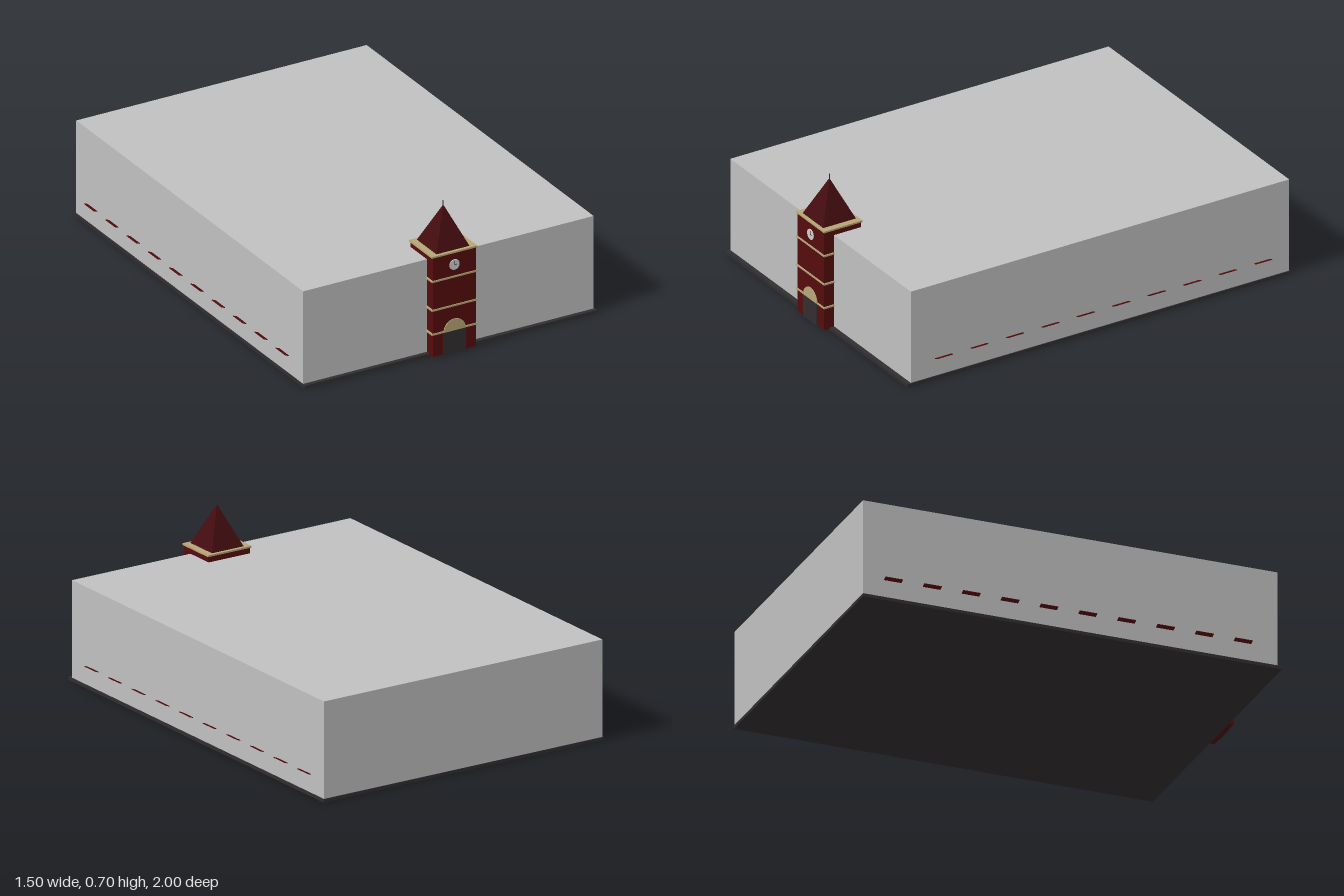
import * as THREE from 'three';

export function createModel() {
  const model = new THREE.Group();
  model.name = 'hallWithClockTower';

  const paint = (name, color) => {
    const m = new THREE.MeshStandardMaterial({ color });
    m.name = name;
    return m;
  };
  const wallGrey = paint('wallGrey', 0xc0c0c0);
  const charcoal = paint('charcoal', 0x322e30);
  const brick = paint('brickRed', 0x560c0d);
  const roofRed = paint('roofRed', 0x430c0f);
  const sandstone = paint('sandstone', 0xb7a777);
  const dialWhite = paint('dialWhite', 0xcfcfcf);

  const add = (parent, name, geometry, material, x, y, z) => {
    const mesh = new THREE.Mesh(geometry, material);
    mesh.name = name;
    mesh.position.set(x, y, z);
    parent.add(mesh);
    return mesh;
  };
  const box = (parent, name, material, w, h, d, x, y, z) =>
    add(parent, name, new THREE.BoxGeometry(w, h, d), material, x, y, z);

  // Plinth and main hall
  box(model, 'plinth', charcoal, 1.47, 0.015, 1.965, 0, 0.0075, -0.0175);
  box(model, 'hall', wallGrey, 1.46, 0.447, 1.943, 0, 0.2385, -0.0265);

  // Clock tower, its centre at z = 0.9
  const tower = new THREE.Group();
  tower.name = 'clockTower';
  tower.position.z = 0.9;
  model.add(tower);
  box(tower, 'towerBody', brick, 0.216, 0.48, 0.19, 0, 0.25, 0);
  for (const y of [0.119, 0.235, 0.374, 0.492]) {
    box(tower, 'ledge', sandstone, 0.228, 0.008, 0.198, 0, y, 0);
  }

  // Pyramid roof and finial
  const roof = new THREE.ConeGeometry(Math.SQRT1_2, 1, 4, 1).toNonIndexed();
  roof.rotateY(Math.PI / 4).scale(0.166, 0.185, 0.168);
  roof.computeVertexNormals();
  add(tower, 'roof', roof, roofRed, 0, 0.5885, 0);
  add(tower, 'finial', new THREE.CylinderGeometry(0.002, 0.002, 0.04, 8), charcoal, 0, 0.682, 0);

  // Doorway with a round fanlight above
  box(tower, 'door', charcoal, 0.11, 0.105, 0.005, 0, 0.0625, 0.0975);
  const arch = new THREE.Shape();
  arch.absarc(0, 0, 0.055, 0, Math.PI);
  arch.closePath();
  add(tower, 'fanlight',
    new THREE.ExtrudeGeometry(arch, { depth: 0.004, bevelEnabled: false, curveSegments: 20 }),
    sandstone, 0, 0.116, 0.0957);

  // Clock dial and hands
  const dial = new THREE.CylinderGeometry(0.025, 0.025, 0.004, 32).rotateX(Math.PI / 2);
  add(tower, 'clockDial', dial, dialWhite, 0, 0.432, 0.0965);
  for (const [name, length, angle] of [['minuteHand', 0.018, 0], ['hourHand', 0.012, -Math.PI / 2]]) {
    const hand = new THREE.BoxGeometry(0.003, length, 0.001).translate(0, length / 2, 0);
    add(tower, name, hand, charcoal, 0, 0.432, 0.099).rotation.z = angle;
  }

  // Awnings along both long walls, tipped up at the outer edge
  for (const side of [-1, 1]) {
    for (let i = 0; i < 10; i++) {
      const z = 0.781 - i * 0.1822;
      box(model, 'awning', brick, 0.022, 0.003, 0.082, side * 0.738, 0.102, z)
        .rotation.z = side * 0.36;
    }
  }

  return model;
}
